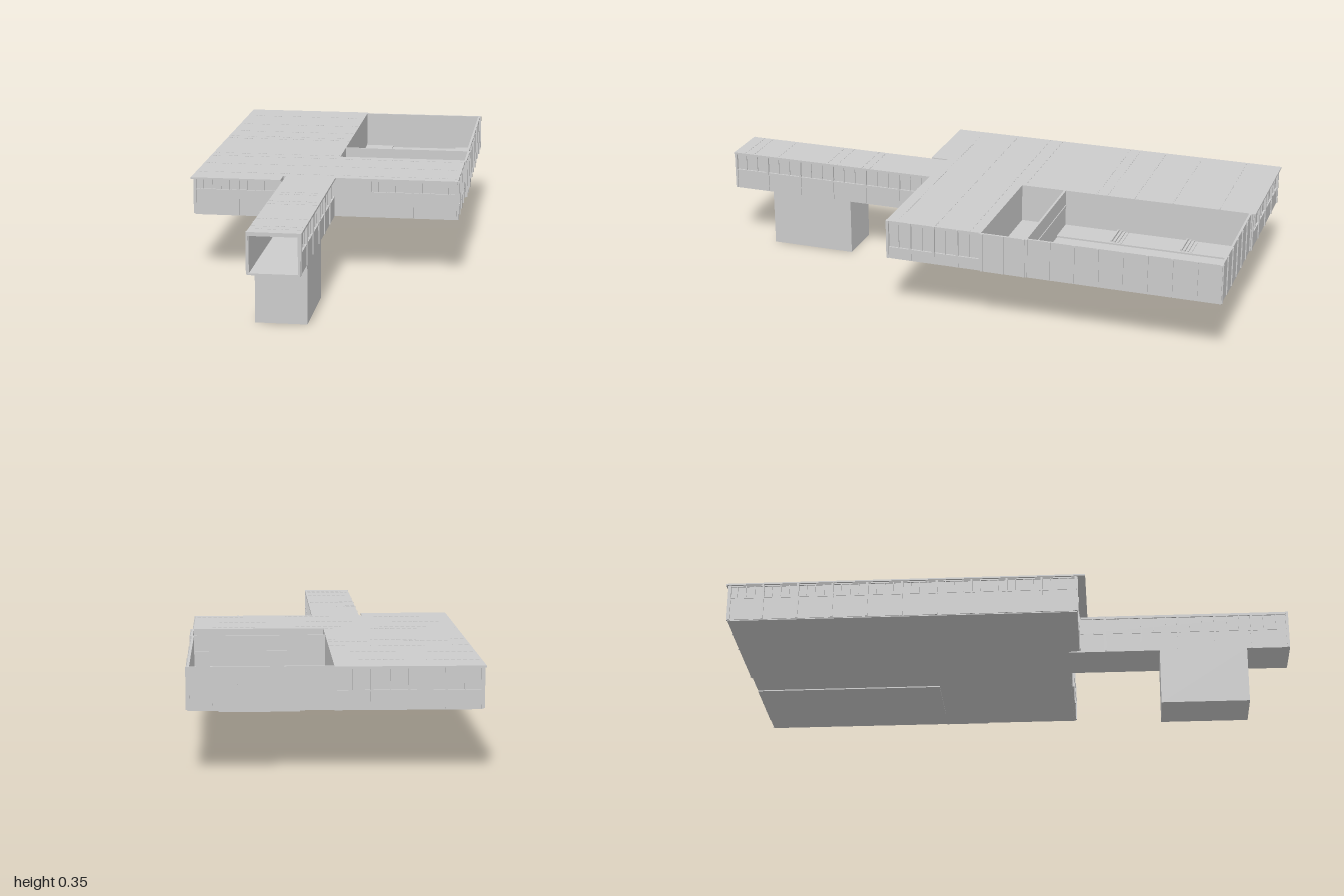
import * as THREE from 'three';

const FLOOR = 0.21, TOP = 0.35;
const material = new THREE.MeshStandardMaterial({ color: 0xcccccc, flatShading: true });

// Box given by its minimum and maximum on each axis
function box(parent, name, x0, x1, y0, y1, z0, z1) {
  const mesh = new THREE.Mesh(new THREE.BoxGeometry(x1 - x0, y1 - y0, z1 - z0), material);
  mesh.position.set((x0 + x1) / 2, (y0 + y1) / 2, (z0 + z1) / 2);
  mesh.name = name;
  parent.add(mesh);
  return mesh;
}

// Facade from a to b ([x, z]); its outer face lies on the right-hand side of travel.
// bays: number of panels, sill: base of the windows (none if 0), split: panes per bay
function facade(parent, name, a, b, { bays = 1, sill = 0, split = 1, post = 0.008, proud = 0.004 } = {}) {
  const group = new THREE.Group();
  const dx = b[0] - a[0], dz = b[1] - a[1], length = Math.hypot(dx, dz);
  group.name = name;
  group.position.set(a[0], 0, a[1]);
  group.rotation.y = Math.atan2(-dz, dx);
  if (sill) {
    box(group, 'lowerWall', 0, length, FLOOR, sill, -0.008, 0);
    box(group, 'windowPane', 0, length, sill, TOP - 0.01, -0.008, -0.005);
    box(group, 'windowHead', 0, length, TOP - 0.01, TOP, -0.008, 0);
  } else {
    box(group, 'wallPanel', 0, length, FLOOR, TOP, -0.008, 0);
  }
  const bay = length / bays;
  for (let i = 0; i <= bays && post; i++) {
    const x = THREE.MathUtils.clamp(i * bay, post / 2, length - post / 2);
    box(group, 'post', x - post / 2, x + post / 2, FLOOR, TOP, -0.008, proud);
    if (!sill || i === bays) continue;
    for (let j = 1; j < split; j++) {
      const m = (i + j / split) * bay;
      box(group, 'mullion', m - 0.0015, m + 0.0015, sill, TOP - 0.01, -0.008, 0);
    }
  }
  if (sill) box(group, 'windowSill', 0, length, sill - 0.002, sill + 0.002, -0.008, 0.002);
  parent.add(group);
}

// Dashed roof seam across x at a given z
function seam(parent, x0, x1, z) {
  const count = Math.round((x1 - x0) / 0.02), step = (x1 - x0) / count;
  for (let i = 0; i < count; i++) {
    box(parent, 'roofSeam', x0 + (i + 0.15) * step, x0 + (i + 0.8) * step, TOP - 0.001, TOP + 0.001, z - 0.002, z + 0.002);
  }
}

function createMainBlock() {
  const g = new THREE.Group();
  g.name = 'mainBlock';
  // Floors and flat roofs
  box(g, 'longWingFloor', -0.475, 0, FLOOR - 0.003, FLOOR + 0.003, -0.99, 0.2);
  box(g, 'frontWingFloor', 0, 0.465, FLOOR - 0.003, FLOOR + 0.003, -0.14, 0.2);
  box(g, 'cornerBayFloor', -0.475, -0.16, FLOOR - 0.003, FLOOR + 0.003, 0.2, 0.24);
  box(g, 'longWingRoof', -0.485, 0, TOP - 0.006, TOP, -1, 0.2);
  box(g, 'frontWingRoof', 0, 0.468, TOP - 0.006, TOP, -0.14, 0.21);
  box(g, 'cornerBayRoof', -0.485, -0.16, TOP - 0.006, TOP, 0.2, 0.27);

  // Outer facades
  facade(g, 'rightFacade', [-0.478, -0.99], [-0.478, 0.24], { bays: 10, sill: 0.295, split: 4 });
  facade(g, 'backFacade', [0, -0.99], [-0.478, -0.99], { bays: 4, sill: 0.27, split: 2 });
  facade(g, 'cornerBayFront', [-0.478, 0.24], [-0.16, 0.24], { bays: 2, sill: 0.3, split: 5 });
  facade(g, 'cornerBayReturn', [-0.16, 0.24], [-0.16, 0.2], { post: 0 });
  facade(g, 'centreFrontRight', [-0.16, 0.205], [-0.15, 0.205], { post: 0 });
  facade(g, 'centreFrontLeft', [0.025, 0.205], [0.15, 0.205], { post: 0 });
  facade(g, 'frontWingFront', [0.15, 0.208], [0.465, 0.208], { bays: 2, sill: 0.3, split: 5 });
  facade(g, 'frontWingSide', [0.468, 0.208], [0.468, -0.14], { bays: 4, sill: 0.25, split: 2 });

  // Walls facing the yards
  facade(g, 'longWingYardWall', [0, -0.14], [0, -0.99], { post: 0 });
  facade(g, 'frontWingYardWall', [0.468, -0.14], [0, -0.14], { post: 0 });

  for (const z of [-0.87, -0.7, -0.56, -0.46, -0.42, -0.15]) seam(g, -0.48, 0, z);
  for (const z of [-0.1, 0.03, 0.17]) seam(g, -0.48, 0.465, z);
  return g;
}

function createCourtyard() {
  const g = new THREE.Group();
  g.name = 'courtyard';
  // Narrow open alley and the sunken yard
  box(g, 'alleyFloor', 0, 0.47, FLOOR - 0.003, FLOOR + 0.003, -0.3, -0.14);
  box(g, 'sunkenFloor', 0.11, 0.37, 0.203, 0.211, -0.985, -0.295);
  for (const [x0, x1] of [[0, 0.11], [0.37, 0.468]]) {
    box(g, 'yardLedge', x0, x1, FLOOR - 0.003, 0.217, -0.985, -0.3);
  }
  // Surrounding walls with posts
  facade(g, 'yardSideWall', [0.47, -0.3], [0.47, -0.985], { bays: 8 });
  facade(g, 'yardBackWall', [0.47, -0.985], [0, -0.985], { bays: 6 });
  facade(g, 'alleyEndWall', [0.474, -0.14], [0.474, -0.3], { bays: 2 });
  box(g, 'dividingWall', 0, 0.47, FLOOR, TOP, -0.306, -0.298);
  box(g, 'dividingWallRail', 0, 0.46, 0.29, 0.295, -0.309, -0.306);
  // Shallow slatted steps along both sides
  for (const [x0, z0] of [[0.002, -0.8], [0.365, -0.86], [0.002, -0.545], [0.365, -0.565]]) {
    for (let i = 0; i < 4; i++) {
      box(g, 'stepSlat', x0, x0 + 0.1, 0.215, 0.219 + i * 0.002, z0 + i * 0.012, z0 + i * 0.012 + 0.006);
    }
  }
  return g;
}

function createWalkway() {
  const g = new THREE.Group();
  g.name = 'walkway';
  const x0 = -0.15, x1 = 0.025, z0 = 0.2, z1 = 1;
  // Hollow passage, open at the front end
  box(g, 'walkwayFloor', x0, x1, FLOOR - 0.003, FLOOR + 0.003, z0, z1);
  box(g, 'walkwayRoof', x0, x1 + 0.004, TOP - 0.007, TOP, z0, z1);
  facade(g, 'walkwayRightWall', [x0, z0], [x0, z1 - 0.002], { bays: 6, sill: 0.28, split: 3, proud: 0.002 });
  facade(g, 'walkwayLeftWall', [x1, z1 - 0.002], [x1, z0], { bays: 6, sill: 0.28, split: 3 });
  // Frame around the open end and the wall with a door at the far end
  for (const x of [x0, x1 - 0.006]) box(g, 'endFramePost', x, x + 0.006, FLOOR, TOP, z1 - 0.008, z1);
  box(g, 'endFrameHead', x0, x1, TOP - 0.013, TOP, z1 - 0.008, z1);
  box(g, 'innerWall', x0, x1, FLOOR, TOP - 0.006, z0, z0 + 0.006);
  box(g, 'innerDoor', -0.092, -0.07, 0.215, 0.292, z0 + 0.006, z0 + 0.01);
  for (const z of [0.45, 0.48, 0.58, 0.62, 0.82, 0.92, 0.955]) seam(g, x0, x1, z);
  return g;
}

export function createModel() {
  const model = new THREE.Group();
  model.name = 'building';
  model.add(createMainBlock(), createCourtyard(), createWalkway());
  // Solid pier carrying the walkway
  box(model, 'supportPier', -0.151, 0.024, 0, FLOOR, 0.53, 0.845);
  return model;
}
